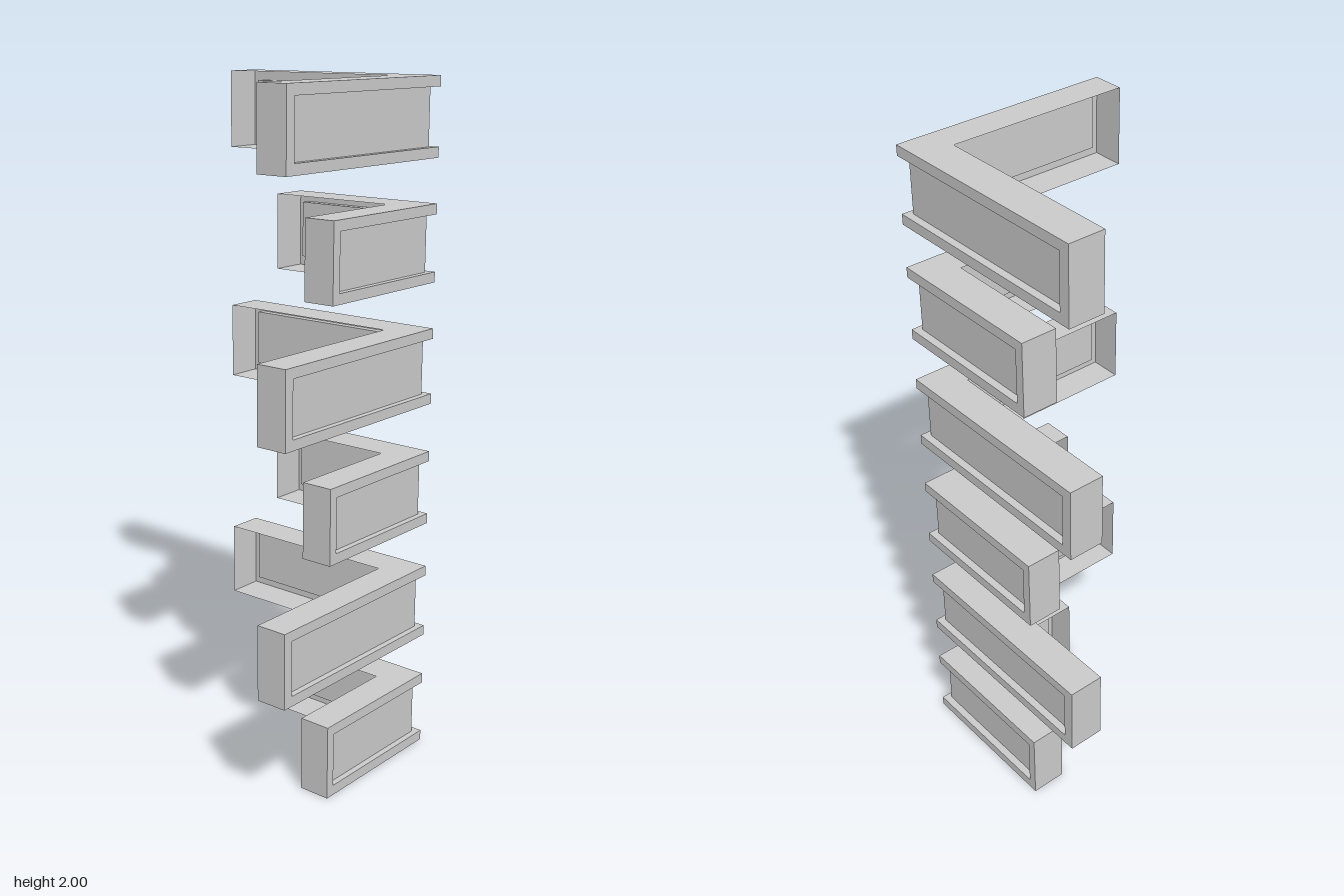
import * as THREE from 'three';

const X = 0.33, Z = 0.335;              // outer corner of the stack
const THICK = [0.108, 0.095];           // wall thickness along x (side arm) and z (front arm)
const RECESS = [0.023, 0.018];          // panel depth along x and z
const HEIGHT = 0.222, RAIL = 0.03;
const NONE = [0, 0];

// Insets of the cross-section from top inner lip, round the face, to bottom inner lip
const plain = [THICK, NONE, NONE, NONE, NONE, NONE, NONE, THICK];
const sunk = [THICK, NONE, NONE, RECESS, RECESS, NONE, NONE, THICK];
const closed = plain.map(() => THICK);  // collapses onto the inner edge to close an arm's end
const levels = [HEIGHT, HEIGHT, HEIGHT - RAIL, HEIGHT - RAIL, RAIL, RAIL, 0, 0];

const frontAt = (x, insets) => insets.map((d, i) => new THREE.Vector3(x, levels[i], Z - d[1]));
const sideAt = (z, insets) => insets.map((d, i) => new THREE.Vector3(X - d[0], levels[i], z));
const cornerAt = (insets) => insets.map((d, i) => new THREE.Vector3(X - d[0], levels[i], Z - d[1]));

// Joins neighbouring cross-sections with flat faces, skipping empty ones
function skin(sections) {
  const positions = [];
  const tri = (a, b, c) => {
    if (new THREE.Triangle(a, b, c).getArea() < 1e-8) return;
    for (const v of [a, b, c]) positions.push(v.x, v.y, v.z);
  };
  for (let s = 0; s < sections.length - 1; s++) {
    const a = sections[s], b = sections[s + 1];
    for (let i = 0; i < a.length - 1; i++) {
      tri(a[i], a[i + 1], b[i + 1]);
      tri(a[i], b[i + 1], b[i]);
    }
  }
  const geometry = new THREE.BufferGeometry();
  geometry.setAttribute('position', new THREE.Float32BufferAttribute(positions, 3));
  geometry.computeVertexNormals();
  return geometry;
}

// L-shaped hollow corner block, open at the back, with a sunk panel wrapping the corner
function blockGeometry(endX, endZ, stileX, stileZ) {
  return skin([
    frontAt(endX, closed),
    frontAt(endX, plain),
    frontAt(endX + stileX, plain),
    frontAt(endX + stileX, sunk),
    cornerAt(sunk),
    sideAt(endZ + stileZ, sunk),
    sideAt(endZ + stileZ, plain),
    sideAt(endZ, plain),
    sideAt(endZ, closed),
  ]);
}

export function createModel() {
  const group = new THREE.Group();
  group.name = 'cornerQuoins';
  const material = new THREE.MeshStandardMaterial({
    color: 0xcccccc, flatShading: true, side: THREE.DoubleSide,
  });
  const shortBlock = blockGeometry(-0.138, -0.154, 0.028, 0.027);
  const longBlock = blockGeometry(-X, -Z, 0.031, 0.033);

  // Short and long blocks alternate up the corner
  [0, 0.351, 0.709, 1.075, 1.43, 1.778].forEach((y, i) => {
    const isLong = i % 2 === 1;
    const mesh = new THREE.Mesh(isLong ? longBlock : shortBlock, material);
    mesh.name = (isLong ? 'longQuoin' : 'shortQuoin') + (Math.floor(i / 2) + 1);
    mesh.position.y = y;
    group.add(mesh);
  });
  return group;
}
